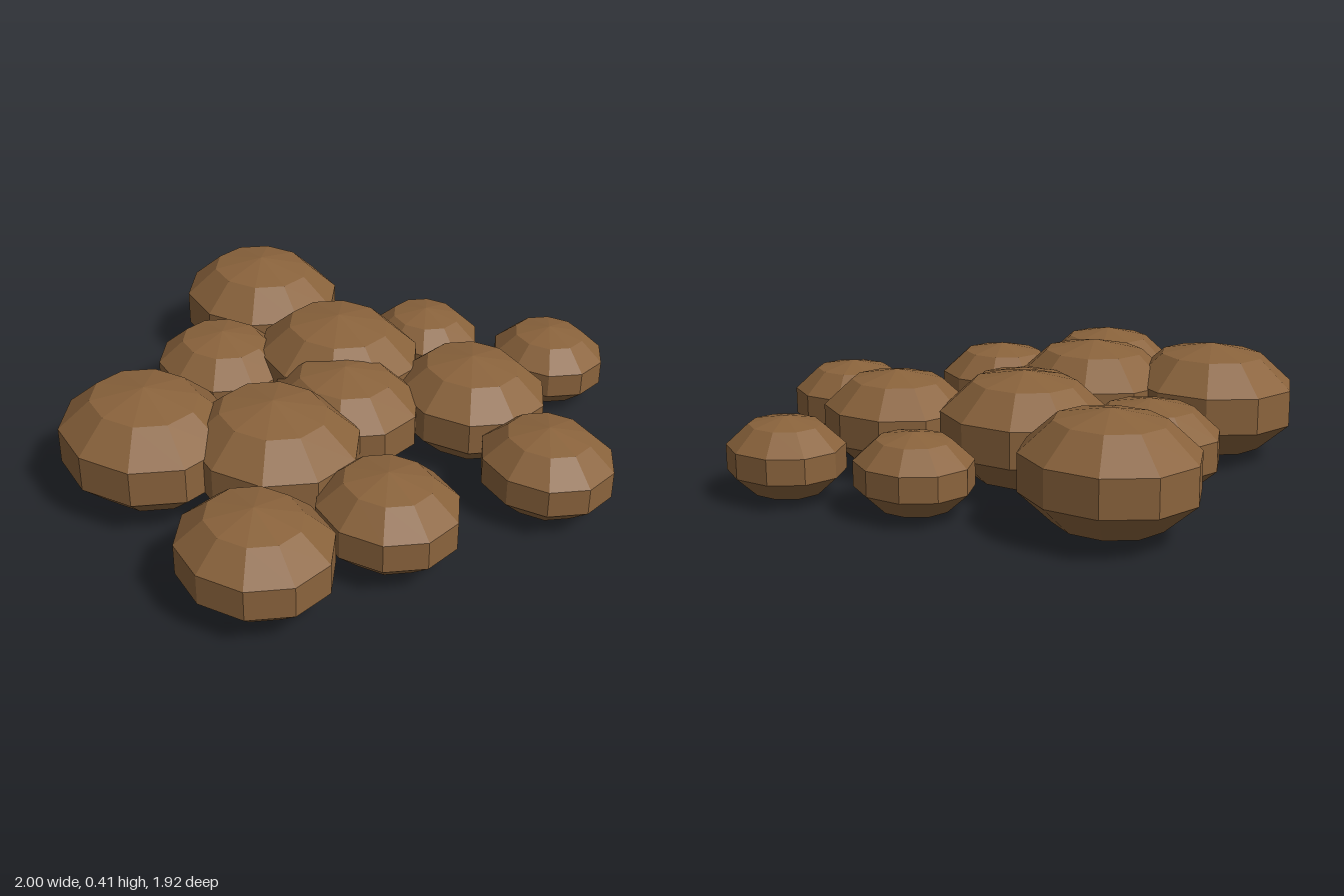
import * as THREE from 'three';

// Cluster of squashed, faceted lumps resting on the ground
export function createModel() {
  const group = new THREE.Group();
  group.name = 'lumpCluster';

  const brown = new THREE.MeshStandardMaterial({ color: 0x8a633c });
  brown.name = 'earthBrown';
  brown.flatShading = true;

  // Each lump: x, z, radius, lift above the ground
  const lumps = [
    [0.28, -0.678, 0.318, 0.005],
    [-0.113, -0.468, 0.261, 0],
    [-0.63, -0.273, 0.326, 0],
    [-0.382, 0.078, 0.32, 0],
    [0.16, -0.152, 0.318, 0.01],
    [-0.016, 0.05, 0.284, 0],
    [0.6, -0.12, 0.218, 0],
    [0.805, 0.303, 0.221, 0],
    [0.338, 0.318, 0.286, 0],
    [0.233, 0.733, 0.244, 0],
    [-0.333, 0.54, 0.257, 0],
    [-0.767, 0.396, 0.276, 0],
  ];

  // Low-poly ball, narrowed in x and flattened in y
  const ball = new THREE.SphereGeometry(1, 10, 5);
  const flatten = 0.628;
  lumps.forEach(([x, z, r, lift], i) => {
    const lump = new THREE.Mesh(ball, brown);
    lump.name = `lump${i + 1}`;
    lump.scale.set(r * 0.9, r * flatten, r);
    lump.position.set(x, r * flatten + lift, z);
    group.add(lump);
  });

  return group;
}
